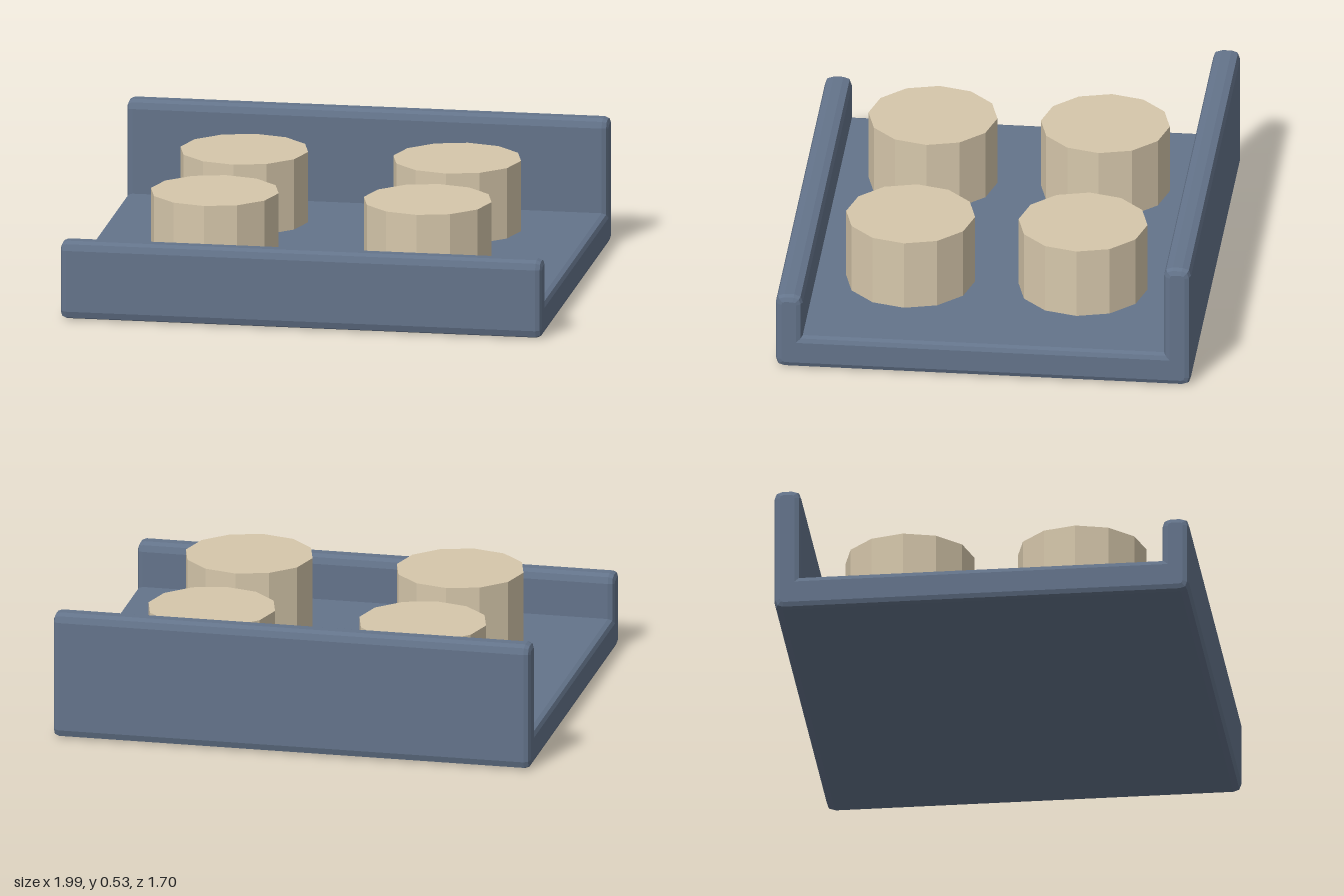
import * as THREE from 'three';

const trayMaterial = new THREE.MeshStandardMaterial({ color: 0x64748b, flatShading: true });
const pegMaterial = new THREE.MeshStandardMaterial({ color: 0xd6c7ab, flatShading: true });

// Closed outline from [x, y, cornerRadius] points
function roundedOutline(points) {
  const shape = new THREE.Shape();
  points.forEach(([x, y, r], i) => {
    const corner = new THREE.Vector2(x, y);
    const toward = ([px, py]) =>
      new THREE.Vector2(px, py).sub(corner).setLength(r).add(corner);
    const start = toward(points.at(i - 1));
    const end = toward(points[(i + 1) % points.length]);
    if (i === 0) shape.moveTo(start.x, start.y);
    else shape.lineTo(start.x, start.y);
    if (r > 0) shape.quadraticCurveTo(x, y, end.x, end.y);
  });
  shape.closePath();
  return shape;
}

// Floor with a low front wall and a high back wall, one bevelled profile swept along x
function createTray() {
  const r = 0.035, bevel = 0.025, half = 0.995;
  const profile = roundedOutline([
    [-0.85, 0, r], [0.85, 0, r], [0.85, 0.325, r], [0.74, 0.325, r],
    [0.74, 0.14, 0], [-0.74, 0.14, 0], [-0.74, 0.53, r], [-0.85, 0.53, r],
  ]);
  const depth = 2 * (half - bevel);
  const geometry = new THREE.ExtrudeGeometry(profile, {
    depth, curveSegments: 2, bevelEnabled: true, bevelSegments: 2,
    bevelSize: bevel, bevelThickness: bevel, bevelOffset: -bevel,
  });
  geometry.translate(0, 0, -depth / 2).rotateY(-Math.PI / 2);
  const tray = new THREE.Mesh(geometry, trayMaterial);
  tray.name = 'tray';
  return tray;
}

export function createModel() {
  const model = new THREE.Group();
  model.name = 'trayWithPegs';
  model.add(createTray());

  // Four twelve-sided pegs in a two by two grid
  const pegGeometry = new THREE.CylinderGeometry(0.264, 0.264, 0.295, 12);
  for (const [sideName, x] of [['Left', 0.44], ['Right', -0.44]]) {
    for (const [rowName, z] of [['front', 0.353], ['back', -0.353]]) {
      const peg = new THREE.Mesh(pegGeometry, pegMaterial);
      peg.name = `${rowName}${sideName}Peg`;
      peg.position.set(x, 0.2965, z);
      model.add(peg);
    }
  }
  return model;
}
